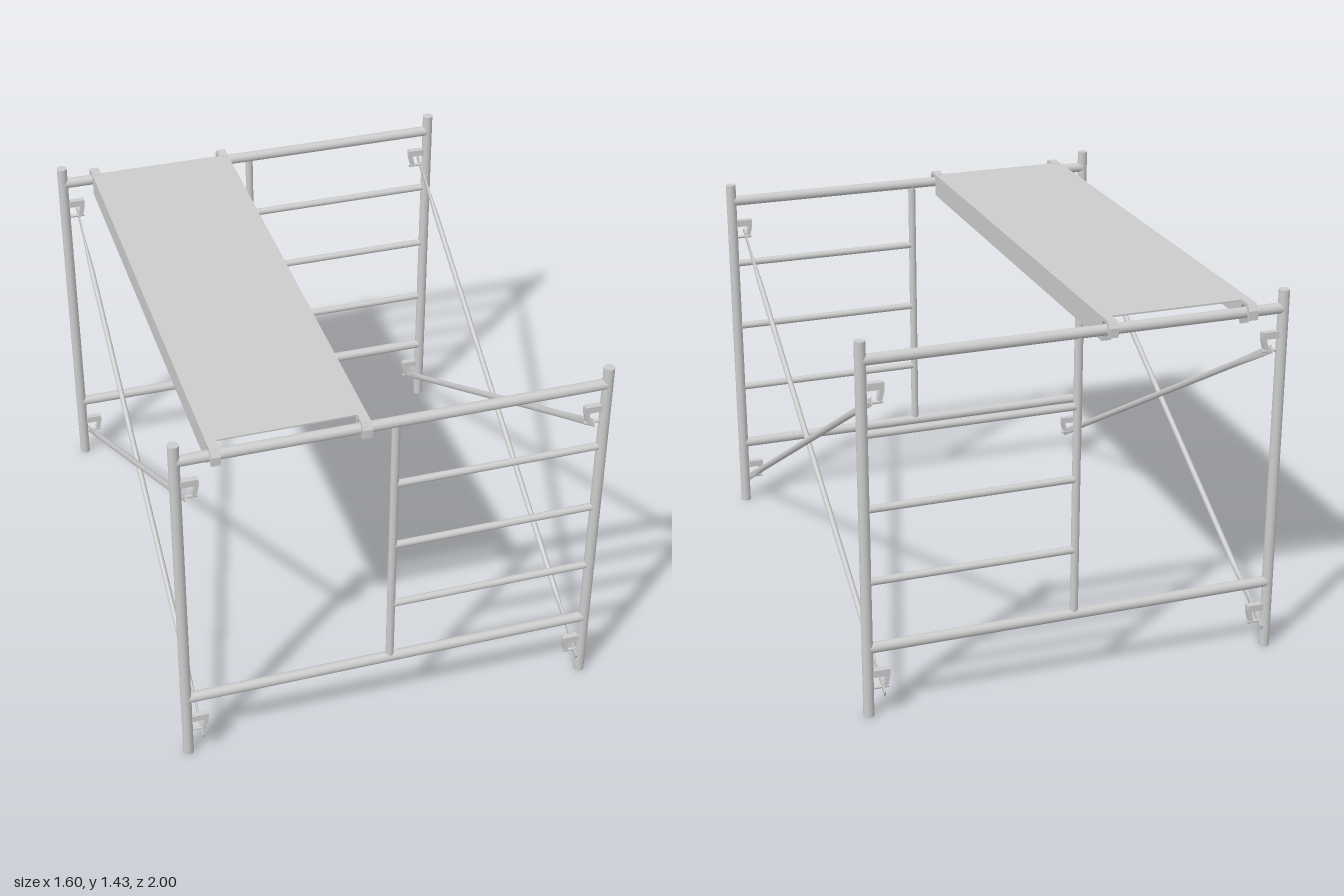
import * as THREE from 'three';

const POST_X = 0.78, POST_Z = 0.96;
const grey = new THREE.MeshStandardMaterial({ color: 0xcccccc });
const thin = new THREE.MeshStandardMaterial({ color: 0xcccccc, side: THREE.DoubleSide });

function add(parent, name, geometry, x = 0, y = 0, z = 0, material = grey) {
  const mesh = new THREE.Mesh(geometry, material);
  mesh.name = name;
  mesh.position.set(x, y, z);
  parent.add(mesh);
  return mesh;
}

const upright = (parent, name, r, x, y0, y1) =>
  add(parent, name, new THREE.CylinderGeometry(r, r, y1 - y0, 24), x, (y0 + y1) / 2, 0);

const crossbar = (parent, name, r, x0, x1, y) =>
  add(parent, name, new THREE.CylinderGeometry(r, r, x1 - x0, 24).rotateZ(Math.PI / 2), (x0 + x1) / 2, y, 0);

function polygon(points) {
  return new THREE.Shape(points.map(([a, b]) => new THREE.Vector2(a, b)));
}

// Brace lock: bent plate on the inside of a post, with a pin through the brace ends
function makeLock(side) {
  const lock = new THREE.Group();
  lock.name = 'braceLock';
  const outline = polygon([
    [0.01, 0.073], [0.08, 0.073], [0.08, 0.047], [0.071, 0.008],
    [0.055, 0.008], [0.064, 0.047], [0.01, 0.047],
  ].map(([u, v]) => [-side * u, v]));
  const plate = new THREE.ExtrudeGeometry(outline, { depth: 0.024, bevelEnabled: false });
  add(lock, 'lockPlate', plate.translate(0, 0, -0.012));
  crossbar(lock, 'lockPin', 0.006, side > 0 ? -0.076 : 0.01, side > 0 ? -0.01 : 0.076, 0);
  return lock;
}

// End frame: two posts, two beams, a half-width ladder and four brace locks
function makeFrame(name, z) {
  const frame = new THREE.Group();
  frame.name = name;
  frame.position.z = z;
  for (const side of [-1, 1]) {
    upright(frame, 'post', 0.02, side * POST_X, 0, 1.427);
    for (const y of [0.107, 1.2]) {
      const lock = makeLock(side);
      lock.position.set(side * POST_X, y, 0);
      frame.add(lock);
    }
  }
  for (const y of [0.27, 1.357]) crossbar(frame, 'beam', 0.02, -POST_X, POST_X, y);
  upright(frame, 'ladderPost', 0.015, 0, 0.27, 1.357);
  for (const y of [0.53, 0.808, 1.086]) crossbar(frame, 'rung', 0.014, 0, POST_X, y);
  return frame;
}

// Diagonal tube whose ends are pressed flat
function braceGeometry() {
  const rows = [-1.14, -1.01, -0.84, 0.84, 1.01, 1.14];
  const geo = new THREE.CylinderGeometry(0.0125, 0.0125, 1, 20, rows.length - 1);
  const pos = geo.attributes.position;
  for (let i = 0; i < pos.count; i++) {
    const y = rows[Math.round((pos.getY(i) + 0.5) * (rows.length - 1))];
    const flat = Math.abs(y) > 0.9;
    pos.setXYZ(i, pos.getX(i) * (flat ? 0.25 : 0.85), y, pos.getZ(i) * (flat ? 1.2 : 1));
  }
  geo.computeVertexNormals();
  return geo;
}

// Plank: downward channel with hooks over the beams at both ends
function makePlank() {
  const plank = new THREE.Group();
  plank.name = 'plank';
  const x0 = -0.662, x1 = -0.097, top = 1.395, bottom = 1.305, length = 1.864, t = 0.006;
  const section = polygon([
    [x0, bottom], [x0 + t, bottom], [x0 + t, top - t], [x1 - t, top - t],
    [x1 - t, bottom], [x1, bottom], [x1, top], [x0, top],
  ]);
  const deck = new THREE.ExtrudeGeometry(section, { depth: length, bevelEnabled: false });
  add(plank, 'deck', deck.translate(0, 0, -length / 2), 0, 0, 0, thin);

  // Hook profile: (distance from centre, height)
  const hook = polygon([
    [0.922, 1.305], [0.93, 1.305], [0.932, 1.37], [0.942, 1.383], [0.972, 1.383],
    [0.982, 1.37], [0.986, 1.338], [0.999, 1.338], [0.999, 1.372], [0.982, 1.396],
    [0.922, 1.396],
  ]);
  const width = 0.035;
  for (const x of [x0 + width / 2, x1 - width / 2]) {
    for (const end of [-1, 1]) {
      const geo = new THREE.ExtrudeGeometry(hook, { depth: width, bevelEnabled: false });
      geo.translate(0, 0, -width / 2).rotateY(-end * Math.PI / 2);
      add(plank, 'hook', geo, x, 0, 0);
    }
  }
  return plank;
}

export function createModel() {
  const model = new THREE.Group();
  model.name = 'scaffold';
  model.add(makeFrame('frontFrame', POST_Z), makeFrame('backFrame', -POST_Z), makePlank());

  // Crossed braces on both sides
  const tilt = Math.atan2(1, 0.569);
  for (const side of [-1, 1]) {
    add(model, 'outerBrace', braceGeometry(), side * 0.752, 0.655, 0).rotation.x = -side * tilt;
    add(model, 'innerBrace', braceGeometry(), side * 0.727, 0.655, 0).rotation.x = side * tilt;
  }
  return model;
}
